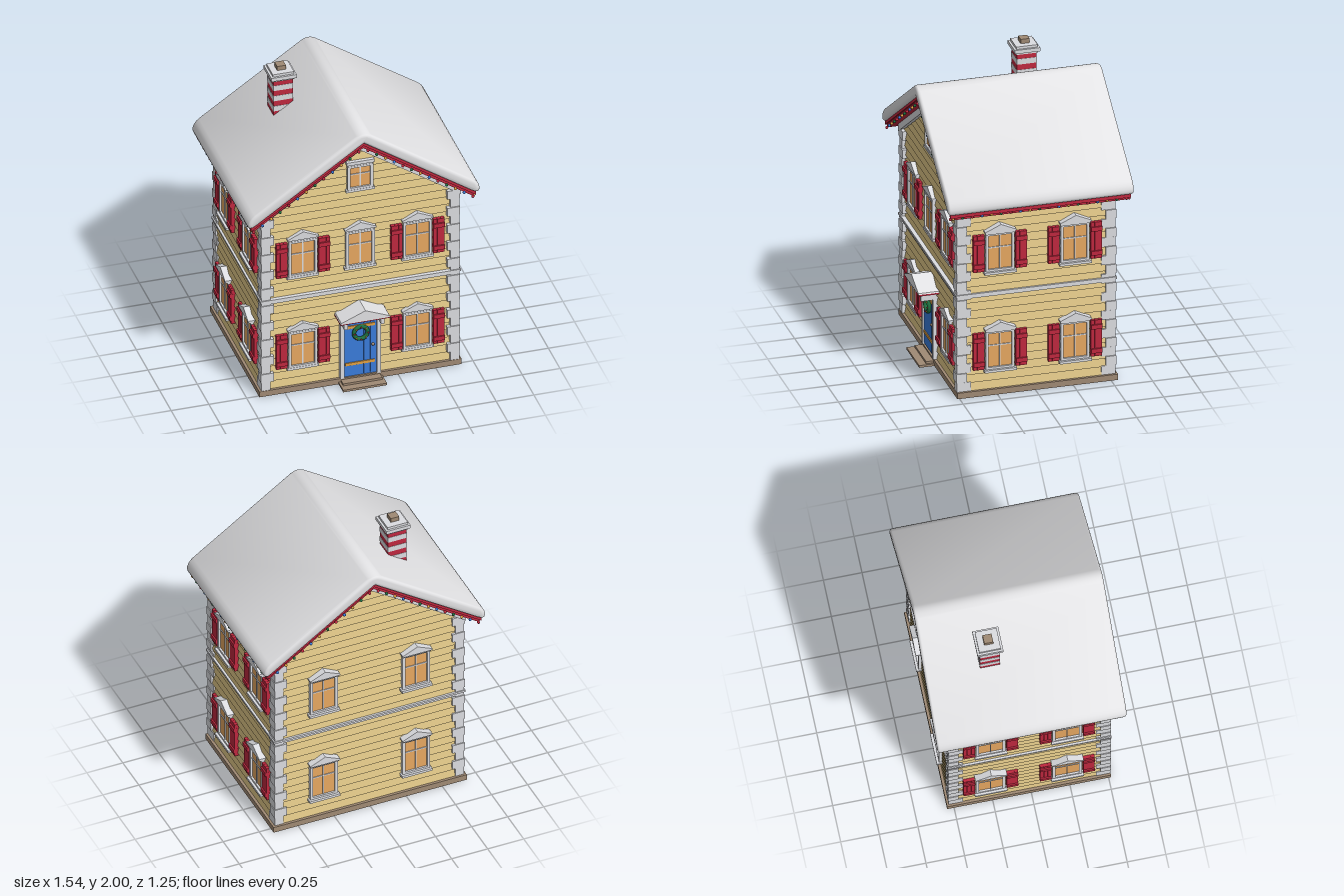
import * as THREE from 'three';
import { toCreasedNormals } from 'three/addons/utils/BufferGeometryUtils.js';

const mat = (name, color) => {
  const m = new THREE.MeshStandardMaterial({ color });
  m.name = name;
  return m;
};
const M = {
  siding: mat('yellow siding', 0xe0c787), trim: mat('white trim', 0xdcdde1), snow: mat('snow', 0xe2e2e4),
  red: mat('red paint', 0xc0283f), glass: mat('lit glass', 0xf2b066), blue: mat('blue door', 0x3a7cdc),
  stone: mat('brown stone', 0xa08a74), green: mat('pine green', 0x1f7040), gold: mat('golden wood', 0xe0a044),
};

function add(parent, name, geo, material, x = 0, y = 0, z = 0) {
  const m = new THREE.Mesh(geo, material);
  m.name = name;
  m.position.set(x, y, z);
  parent.add(m);
  return m;
}
// Box given by its minimum and maximum corners
function block(parent, name, material, x0, x1, y0, y1, z0, z1) {
  return add(parent, name, new THREE.BoxGeometry(x1 - x0, y1 - y0, z1 - z0), material,
    (x0 + x1) / 2, (y0 + y1) / 2, (z0 + z1) / 2);
}
function group(parent, name, x = 0, y = 0, z = 0, ry = 0) {
  const g = new THREE.Group();
  g.name = name;
  g.position.set(x, y, z);
  g.rotation.y = ry;
  parent.add(g);
  return g;
}
const poly = pts => new THREE.Shape(pts.map(p => new THREE.Vector2(p[0], p[1])));
function prism(parent, name, material, shape, z0, z1) {
  return add(parent, name, new THREE.ExtrudeGeometry(shape, { depth: z1 - z0, bevelEnabled: false }), material, 0, 0, z0);
}

const SLOPE = 0.68, HX = 0.64, ZF = 0.485, ZB = -0.515, ZC = (ZF + ZB) / 2;

// Overlapping clapboards: each leans out at its lower edge
function siding(parent, halfWidth, top) {
  const pos = [], pitch = 0.0555, lip = 0.012;
  const quad = (a, b, c, d) => pos.push(...a, ...b, ...c, ...a, ...c, ...d);
  for (let y = 0.04; y < top - 0.001; y += pitch) {
    const y1 = Math.min(y + pitch, top), w0 = halfWidth(y), w1 = halfWidth(y1);
    quad([-w0, y, lip], [w0, y, lip], [w1, y1, 0], [-w1, y1, 0]);
    quad([-w0, y, 0], [w0, y, 0], [w0, y, lip], [-w0, y, lip]);
  }
  const g = new THREE.BufferGeometry();
  g.setAttribute('position', new THREE.Float32BufferAttribute(pos, 3));
  g.computeVertexNormals();
  add(parent, 'siding', g, M.siding);
}

function shutter(parent, x, h, out) {
  const s = group(parent, 'shutter', x, 0, 0);
  for (const i of [-1, 0, 1])
    block(s, 'shutterPlank', M.red, i * 0.025 - 0.0115, i * 0.025 + 0.0115, 0.005, h - 0.005, 0, out - 0.01);
  block(s, 'shutterBacking', M.red, -0.035, 0.035, 0.008, h - 0.008, 0, out - 0.014);
  for (const y of [0.045, h - 0.05])
    block(s, 'shutterBatten', M.red, -0.037, 0.037, y - 0.015, y + 0.015, 0, out);
}

// Window with its lower edge at y = 0 of its own group
function windowUnit(parent, x, y, { w = 0.19, h = 0.262, shutters = false, peak = true, out = 0.05 } = {}) {
  const g = group(parent, 'window', x, y, 0), a = w / 2, b = a - 0.018;
  block(g, 'glass', M.glass, -b, b, 0.005, h, 0.012, 0.017);
  const frame = poly([[-a, 0], [a, 0], [a, h], [-a, h]]);
  frame.holes.push(poly([[-b, 0.014], [-b, h - 0.014], [b, h - 0.014], [b, 0.014]]));
  prism(g, 'windowFrame', M.trim, frame, 0, 0.03);
  block(g, 'mullion', M.trim, -0.004, 0.004, 0.01, h - 0.01, 0.012, 0.023);
  block(g, 'crossBar', M.trim, -b, b, h * 0.62 - 0.004, h * 0.62 + 0.004, 0.012, 0.022);
  block(g, 'sill', M.trim, -a - 0.01, a + 0.01, -0.017, 0, 0, out - 0.004);
  block(g, 'header', M.trim, -a - 0.002, a + 0.002, h, h + 0.015, 0, out - 0.008);
  if (peak)
    prism(g, 'pediment', M.trim, poly([[-a - 0.008, h + 0.012], [a + 0.008, h + 0.012], [a + 0.008, h + 0.022], [0, h + 0.068], [-a - 0.008, h + 0.022]]), 0, out);
  else block(g, 'cornice', M.trim, -a - 0.006, a + 0.006, h + 0.012, h + 0.035, 0, out);
  if (shutters) for (const s of [-1, 1]) shutter(g, s * (a + 0.045), h, 0.042);
}

// Roof-shaped layer between two parallel slopes
function chevron(parent, name, material, top, bottom, end, z0, z1) {
  const d = SLOPE * end;
  return prism(parent, name, material,
    poly([[-end, bottom - d], [0, bottom], [end, bottom - d], [end, top - d], [0, top], [-end, top - d]]), z0, z1);
}

function buildDoor(front) {
  const d = group(front, 'door');
  for (let i = 0; i < 5; i++) {
    const x = -0.11 + i * 0.044;
    block(d, 'doorPlank', M.blue, x + 0.002, x + 0.042, 0.05, 0.485, 0, 0.024);
  }
  block(d, 'doorBacking', M.blue, -0.11, 0.11, 0.04, 0.485, 0, 0.018);
  for (const y of [0.135, 0.41]) block(d, 'doorStrap', M.gold, -0.1, 0.095, y - 0.01, y + 0.01, 0.02, 0.03);
  for (const s of [-1, 1]) {
    block(d, 'doorJamb', M.trim, s * 0.122 - 0.013, s * 0.122 + 0.013, 0.04, 0.5, 0, 0.035);
    block(d, 'canopyBracket', M.trim, s * 0.122 - 0.012, s * 0.122 + 0.012, 0.455, 0.508, 0, 0.115);
  }
  block(d, 'doorHead', M.trim, -0.135, 0.135, 0.483, 0.508, 0, 0.04);
  block(d, 'canopyEdge', M.red, -0.165, 0.165, 0.506, 0.516, 0, 0.135);
  prism(d, 'canopy', M.snow, poly([[-0.165, 0.515], [0.165, 0.515], [0.16, 0.525], [0, 0.592], [-0.16, 0.525]]), 0, 0.14);
  add(d, 'doorHandle', new THREE.SphereGeometry(0.01, 10, 8), M.stone, 0.083, 0.26, 0.03);
  add(d, 'wreath', new THREE.TorusGeometry(0.045, 0.014, 8, 20), M.green, 0, 0.365, 0.036);
  for (let i = 0; i < 8; i++) {
    const t = i * Math.PI / 4;
    add(d, 'wreathBerry', new THREE.SphereGeometry(0.006, 8, 6), i % 2 ? M.gold : M.red,
      0.045 * Math.cos(t), 0.365 + 0.045 * Math.sin(t), 0.049);
  }
}

function buildRoof(root) {
  const roof = group(root, 'roof');
  // Snow blanket with rounded ridge, eaves and ends
  const s = new THREE.Shape();
  s.moveTo(0, 1.825);
  s.lineTo(0.715, 1.339);
  s.bezierCurveTo(0.785, 1.29, 0.785, 1.381, 0.725, 1.422);
  s.lineTo(0.05, 1.881);
  s.quadraticCurveTo(0, 1.915, -0.05, 1.881);
  s.lineTo(-0.725, 1.422);
  s.bezierCurveTo(-0.785, 1.381, -0.785, 1.29, -0.715, 1.339);
  s.closePath();
  const b = 0.022;
  const geo = new THREE.ExtrudeGeometry(s, {
    depth: 1.225 - 2 * b, bevelThickness: b, bevelSize: b, bevelOffset: -b, bevelSegments: 4, curveSegments: 8,
  });
  add(roof, 'snowBlanket', toCreasedNormals(geo, 0.7), M.snow, 0, 0, -0.625 + b);
  chevron(roof, 'roofDeck', M.red, 1.835, 1.805, 0.745, -0.607, 0.583);
  chevron(roof, 'fascia', M.red, 1.81, 1.782, 0.735, -0.597, 0.573);
  chevron(roof, 'frontFrieze', M.trim, 1.79, 1.732, 0.665, ZF, ZF + 0.035);
  chevron(roof, 'backFrieze', M.trim, 1.79, 1.732, 0.665, ZB - 0.03, ZB);

  // Coloured bulbs along gables and eaves
  const bulb = new THREE.SphereGeometry(0.01, 8, 6), tints = [M.red, M.green, M.gold, M.blue];
  for (const side of [-1, 1]) {
    for (let i = 0; i < 13; i++) {
      const x = 0.03 + i * 0.058;
      for (const z of [0.577, -0.601]) add(roof, 'bulb', bulb, tints[i % 4], side * x, 1.78 - SLOPE * x, z);
    }
    for (let i = 0; i < 19; i++)
      add(roof, 'bulb', bulb, tints[i % 4], side * 0.738, 1.292, -0.58 + i * 0.0635);
  }
}

function buildChimney(root) {
  const c = group(root, 'chimney', -0.31, 0, -0.207);
  for (let i = 0; i < 9; i++) {
    const y = 1.92 - i * 0.038, r = i % 2 ? 0.066 : 0.064;
    block(c, 'chimneyStripe', i % 2 ? M.trim : M.red, -r, r, y - 0.038, y, -r, r);
  }
  block(c, 'chimneyCapLower', M.trim, -0.072, 0.072, 1.915, 1.93, -0.072, 0.072);
  block(c, 'chimneyCap', M.trim, -0.084, 0.084, 1.928, 1.953, -0.084, 0.084);
  block(c, 'chimneyCapUpper', M.trim, -0.07, 0.07, 1.953, 1.97, -0.07, 0.07);
  block(c, 'chimneyPot', M.stone, -0.029, 0.029, 1.97, 2, -0.029, 0.029);
}

export function createModel() {
  const root = new THREE.Group();
  root.name = 'house';
  block(root, 'foundation', M.stone, -0.67, 0.67, 0, 0.04, -0.545, 0.515);
  block(root, 'lowerStep', M.stone, -0.145, 0.145, 0, 0.015, 0.5, 0.615);
  block(root, 'upperStep', M.stone, -0.13, 0.13, 0, 0.03, 0.5, 0.565);

  // Four walls, each built facing its own +z
  const front = group(root, 'frontWall', 0, 0, ZF);
  const back = group(root, 'backWall', 0, 0, ZB, Math.PI);
  const gable = y => Math.max(0, Math.min(HX, (1.77 - y) / SLOPE));
  for (const wall of [front, back]) siding(wall, gable, 1.77);
  const sides = [1, -1].map(s => group(root, s > 0 ? 'leftWall' : 'rightWall', s * HX, 0, ZC, s * Math.PI / 2));
  for (const wall of sides) siding(wall, () => 0.5, 1.345);

  // Windows on both floors
  for (const y of [0.18, 0.862]) {
    for (const s of [-1, 1]) {
      windowUnit(front, s * 0.38, y, { shutters: true, out: 0.036 });
      windowUnit(back, s * 0.32, y);
      for (const wall of sides) windowUnit(wall, s * 0.2475, y, { shutters: true });
    }
  }
  windowUnit(front, 0, 0.862, { out: 0.036 });
  windowUnit(front, 0, 1.442, { w: 0.17, h: 0.175, peak: false, out: 0.036 });
  buildDoor(front);

  // Band between floors, and corner stones of alternating length
  block(root, 'floorBand', M.trim, -0.656, 0.656, 0.685, 0.705, ZB - 0.016, ZF + 0.03);
  block(root, 'floorBandCap', M.trim, -0.664, 0.664, 0.703, 0.717, ZB - 0.024, ZF + 0.036);
  const n = 20, step = 1.275 / n;
  for (const sx of [-1, 1]) for (const sz of [-1, 1]) for (let i = 0; i < n; i++) {
    const long = i % 2, lx = long ? 0.085 : 0.06, lz = long ? 0.068 : 0.092;
    const ox = HX + (long ? 0.02 : 0.016), oz = sz > 0 ? ZF + (long ? 0.033 : 0.029) : ZB - (long ? 0.021 : 0.017);
    const y = 0.04 + i * step, xs = [sx * ox, sx * (ox - lx)], zs = [oz, oz - sz * lz];
    block(root, 'cornerStone', M.trim, Math.min(...xs), Math.max(...xs), y + 0.001, y + step - 0.001, Math.min(...zs), Math.max(...zs));
  }

  buildRoof(root);
  buildChimney(root);
  return root;
}
